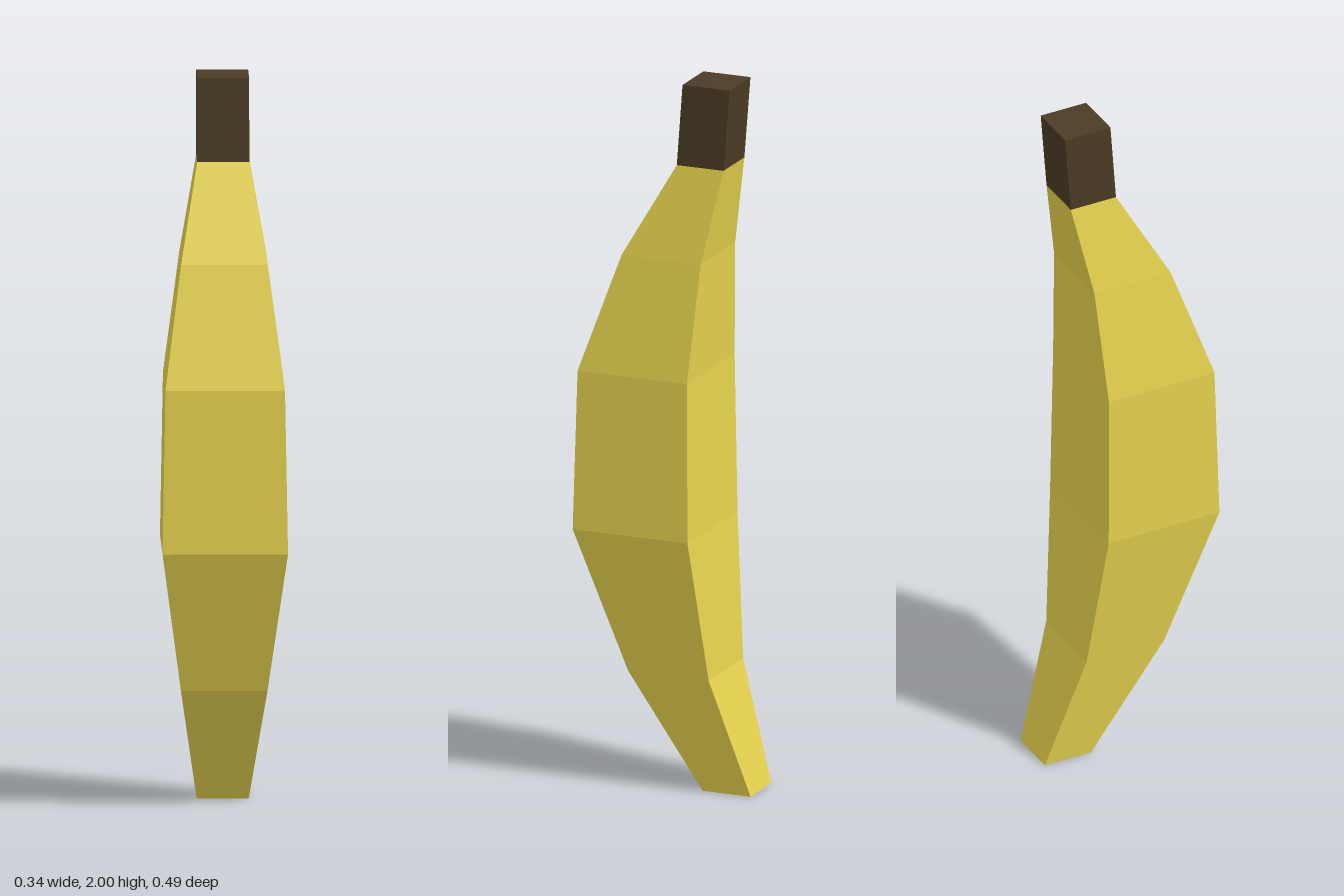
import * as THREE from 'three';

// Four corners of a rectangular cross-section: [y, half width, front z, back z]
const ring = ([y, w, front, back]) => [[w, y, front], [w, y, back], [-w, y, back], [-w, y, front]];

// Flat-faced skin through a list of cross-sections, with optional end caps
function loft(sections, { bottom = false, top = false } = {}) {
  const rings = sections.map(ring);
  const positions = [];
  const quad = (a, b, c, d) => positions.push(...a, ...b, ...c, ...a, ...c, ...d);
  for (let s = 0; s < rings.length - 1; s++) {
    for (let i = 0; i < 4; i++) {
      const j = (i + 1) % 4;
      quad(rings[s][i], rings[s][j], rings[s + 1][j], rings[s + 1][i]);
    }
  }
  if (bottom) quad(...[...rings[0]].reverse());
  if (top) quad(...rings[rings.length - 1]);
  const geometry = new THREE.BufferGeometry();
  geometry.setAttribute('position', new THREE.Float32BufferAttribute(positions, 3));
  geometry.computeVertexNormals();
  return geometry;
}

export function createModel() {
  const yellow = new THREE.MeshStandardMaterial({ color: 0xe6d34e });
  yellow.name = 'peel yellow';
  const brown = new THREE.MeshStandardMaterial({ color: 0x4b3c25 });
  brown.name = 'stem brown';

  const group = new THREE.Group();
  group.name = 'banana';
  const add = (name, geometry, material) => {
    const mesh = new THREE.Mesh(geometry, material);
    mesh.name = name;
    group.add(mesh);
  };

  const tip = [0, 0.037, -0.135, -0.209];
  const neck = [1.77, 0.071, -0.024, -0.163];

  // Curved peel, starting at the rim around the dark tip
  add('peel', loft([
    tip,
    [0, 0.071, -0.101, -0.243],
    [0.33, 0.118, 0.1, -0.139],
    [0.73, 0.171, 0.242, -0.099],
    [1.18, 0.163, 0.231, -0.094],
    [1.51, 0.118, 0.12, -0.115],
    neck,
  ]), yellow);

  // Leaning stem
  add('stem', loft([neck, [2, 0.071, -0.041, -0.181]], { top: true }), brown);

  // Dark patch in the middle of the bottom end
  add('tip', loft([tip], { bottom: true }), brown);

  return group;
}
